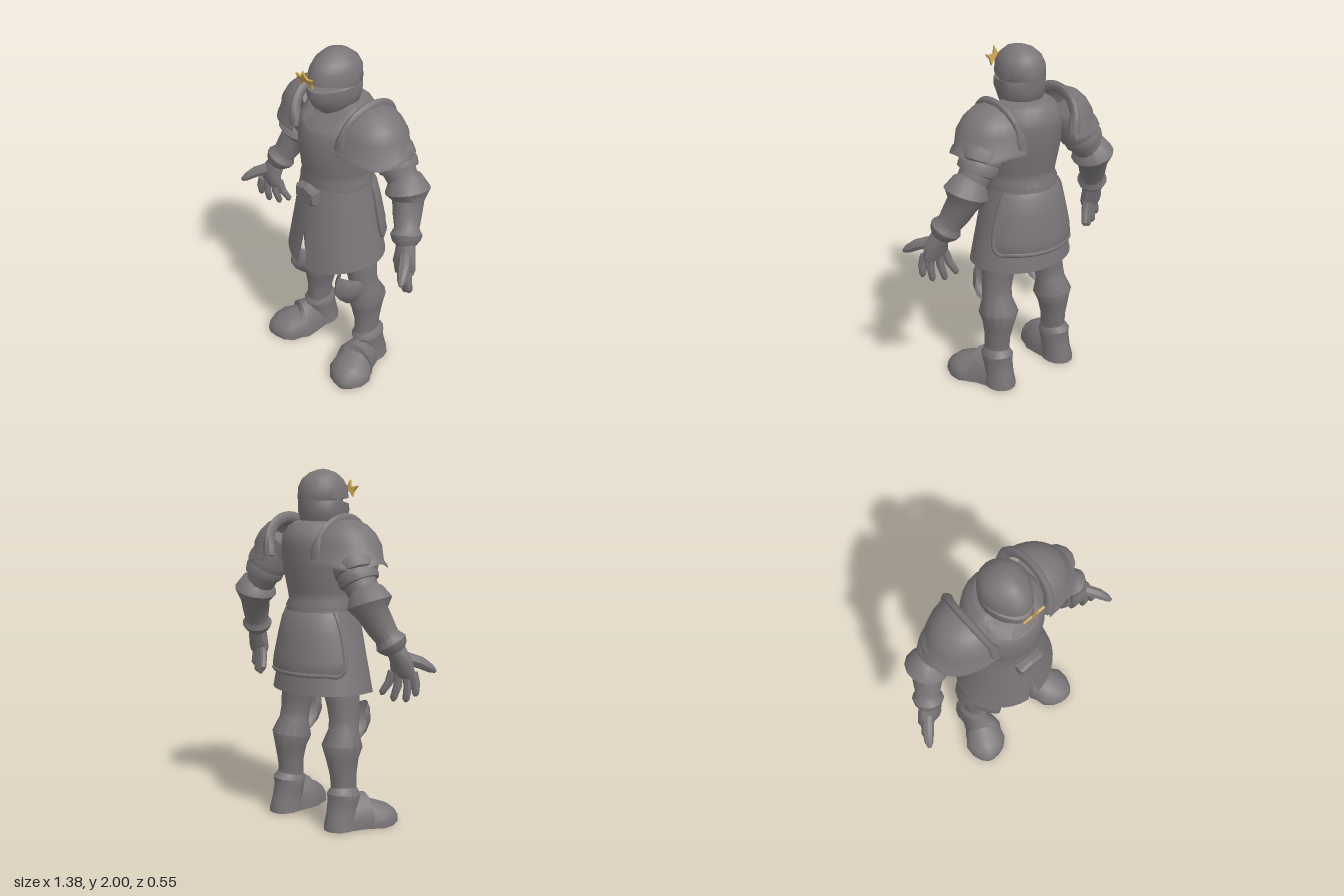
import * as THREE from 'three';
import { toCreasedNormals } from 'three/addons/utils/BufferGeometryUtils.js';

const V = (x, y, z) => new THREE.Vector3(x, y, z);

// Skin a list of equal-length rings; closed rings wrap round and get end caps.
function loft(rings, closed = true) {
  const n = rings[0].length, pos = [], idx = [];
  rings.forEach(r => r.forEach(p => pos.push(p.x, p.y, p.z)));
  for (let j = 0; j < rings.length - 1; j++) {
    for (let i = 0; i < (closed ? n : n - 1); i++) {
      const k = (i + 1) % n, a = j * n + i, b = j * n + k;
      idx.push(a, b, b + n, a, b + n, a + n);
    }
  }
  if (closed) {
    [0, rings.length - 1].forEach(j => {
      const c = rings[j].reduce((s, p) => s.add(p), V(0, 0, 0)).divideScalar(n);
      const ci = pos.length / 3;
      pos.push(c.x, c.y, c.z);
      for (let i = 0; i < n; i++) {
        const a = j * n + i, b = j * n + (i + 1) % n;
        if (j === 0) idx.push(ci, b, a); else idx.push(ci, a, b);
      }
    });
  }
  const g = new THREE.BufferGeometry();
  g.setAttribute('position', new THREE.Float32BufferAttribute(pos, 3));
  g.setIndex(idx);
  return toCreasedNormals(g, 0.75);
}

// Sweep an ellipse along stations [x, y, z, depthRadius, widthRadius].
function sweep(st, { seg = 14, ref = V(0, 0, 1), floor = -1 } = {}) {
  const c = st.map(s => V(s[0], s[1], s[2]));
  return loft(st.map((s, j) => {
    const t = c[Math.min(j + 1, c.length - 1)].clone().sub(c[Math.max(j - 1, 0)]).normalize();
    const u = ref.clone().addScaledVector(t, -ref.dot(t)).normalize();
    const v = t.clone().cross(u);
    return Array.from({ length: seg }, (_, i) => {
      const a = i / seg * Math.PI * 2;
      const p = c[j].clone().addScaledVector(u, Math.cos(a) * s[3])
        .addScaledVector(v, Math.sin(a) * (s[4] ?? s[3]));
      p.y = Math.max(p.y, floor);
      return p;
    });
  }));
}

// Horizontal body rings [y, halfWidth, zFront, zBack]; taper narrows the front.
function body(rows, { taper = 0, dip = () => 0 } = {}) {
  return loft(rows.map(([y, rx, zf, zb], j) => Array.from({ length: 24 }, (_, i) => {
    const a = i / 24 * Math.PI * 2, c = Math.cos(a);
    return V(rx * Math.sin(a) * (1 - taper * Math.max(0, c)), y + dip(c, j), c > 0 ? zf * c : -zb * c);
  })));
}

// Flip a non-indexed geometry across x, keeping the faces outward.
function mirrored(geo) {
  const g = geo.clone();
  for (const key of ['position', 'normal']) {
    const s = geo.attributes[key], d = g.attributes[key];
    for (let i = 0; i < s.count; i++) {
      const k = i % 3 === 0 ? i : i % 3 === 1 ? i + 1 : i - 1;
      d.setXYZ(i, -s.getX(k), s.getY(k), s.getZ(k));
    }
  }
  return g;
}

export function createModel() {
  const root = new THREE.Group();
  root.name = 'armouredFigure';
  const steel = new THREE.MeshStandardMaterial({ color: 0x7a7577, side: THREE.DoubleSide });
  steel.name = 'steel';
  const gold = new THREE.MeshStandardMaterial({ color: 0xc4a04c, side: THREE.DoubleSide });
  gold.name = 'gold';
  const add = (name, geo, mat = steel) => {
    const m = new THREE.Mesh(geo, mat);
    m.name = name;
    root.add(m);
    return m;
  };
  const pair = (name, geo) => {
    add(name + 'Left', geo);
    add(name + 'Right', mirrored(geo));
  };

  // Helmet with a recessed eye slit that opens towards the front
  add('helmet', body([
    [1.66, 0.075, 0.105, -0.08], [1.70, 0.115, 0.15, -0.115], [1.77, 0.13, 0.188, -0.135],
    [1.822, 0.13, 0.182, -0.138], [1.824, 0.128, 0.115, -0.138], [1.836, 0.128, 0.115, -0.14],
    [1.838, 0.13, 0.178, -0.14], [1.90, 0.127, 0.172, -0.138], [1.945, 0.108, 0.14, -0.115],
    [1.98, 0.068, 0.095, -0.068], [1.995, 0.03, 0.045, -0.025], [2.0, 0.004, 0.012, 0.0],
  ], { taper: 0.14, dip: (c, j) => j === 3 ? -0.016 * Math.max(0, c) : j === 6 ? 0.008 * Math.max(0, c) ** 4 : 0 }));

  // Winged crest in front of the brow
  const half = [[0.013, 0.018], [0.03, 0.012], [0.066, 0.018], [0.045, -0.012], [0.043, -0.045], [0.022, -0.02]];
  const outline = [[0, 0.055], ...half, [0, -0.012], ...half.map(([x, y]) => [-x, y]).reverse()];
  const crestShape = new THREE.Shape(outline.map(([x, y]) => new THREE.Vector2(x, y)));
  const crest = add('crest', new THREE.ExtrudeGeometry(crestShape, { depth: 0.012, bevelEnabled: false }), gold);
  crest.position.set(0, 1.89, 0.211);
  crest.rotation.x = 0.32;

  // Breastplate and gorget
  add('cuirass', body([
    [1.20, 0.20, 0.185, -0.185], [1.25, 0.212, 0.2, -0.195], [1.285, 0.197, 0.19, -0.175],
    [1.33, 0.203, 0.2, -0.182], [1.45, 0.222, 0.207, -0.21], [1.56, 0.228, 0.195, -0.225],
    [1.60, 0.226, 0.175, -0.226], [1.64, 0.215, 0.12, -0.222], [1.69, 0.18, 0.075, -0.195], [1.72, 0.12, 0.05, -0.15],
  ]));
  add('gorget', body([
    [1.645, 0.187, 0.185, -0.215], [1.69, 0.172, 0.13, -0.195], [1.715, 0.14, 0.085, -0.165], [1.715, 0.1, 0.06, -0.12],
  ], { dip: c => -0.06 * Math.max(0, c) ** 2 }));

  // Skirt, split at the front
  const skirtRows = [[0.775, 0.307, 0.27, 0.25, 0.036], [0.88, 0.283, 0.25, 0.235, 0.016],
    [0.98, 0.26, 0.237, 0.223, 0], [1.1, 0.235, 0.222, 0.21, 0], [1.25, 0.203, 0.2, 0.193, 0]];
  add('skirt', loft(skirtRows.map(([y, rx, zf, zb, gap], j) => Array.from({ length: 37 }, (_, i) => {
    const g = Math.asin(gap / rx), a = g + i / 36 * (Math.PI * 2 - 2 * g), c = Math.cos(a);
    const drop = j === 0 ? 0.052 * Math.max(0, c) ** 2 : 0;
    return V(rx * Math.sin(a), y - drop, c > 0 ? zf * c : zb * c);
  })), false));

  // Belt buckle
  const buckle = new THREE.Shape([[0, 1.255], [-0.078, 1.235], [-0.078, 1.165], [-0.045, 1.14], [0, 1.13],
    [0.045, 1.14], [0.078, 1.165], [0.078, 1.235]].map(([x, y]) => new THREE.Vector2(x, y)));
  add('buckle', new THREE.ExtrudeGeometry(buckle, {
    depth: 0.07, bevelSize: 0.012, bevelThickness: 0.016, bevelOffset: -0.012, bevelSegments: 1,
  })).position.z = 0.157;

  // Curved rear plate with a rolled rim
  const rear = (rx, rz, y, a) => V(rx * Math.sin(a), y, -rz * Math.cos(a));
  const plateRows = [[0.885, 0.284, 0.262, 1.08], [0.91, 0.293, 0.268, 1.18], [0.96, 0.287, 0.264, 1.22],
    [1.1, 0.254, 0.24, 1.2], [1.19, 0.228, 0.222, 1.15], [1.225, 0.21, 0.2, 1.1]];
  add('rearPlate', loft(plateRows.map(([y, rx, rz, h]) => {
    const row = d => Array.from({ length: 15 }, (_, i) => rear(rx - d, rz - d, y, h - i / 14 * 2 * h));
    return [...row(0), ...row(0.025).reverse()];
  })));
  const rim = [...plateRows].reverse().map(([y, rx, rz, h]) => rear(rx - 0.004, rz - 0.004, y, h));
  for (let i = 1; i < 8; i++) rim.push(rear(0.284, 0.26, 0.89, 1.08 - i * 0.27));
  rim.push(...plateRows.map(([y, rx, rz, h]) => rear(rx - 0.004, rz - 0.004, y, -h)));
  add('rearPlateRim', toCreasedNormals(new THREE.TubeGeometry(new THREE.CatmullRomCurve3(rim), 60, 0.013, 6), 1.2));

  // Shoulder domes: half rings [y, centre x, reach, depth]
  const dome = [[1.495, 0.17, 0.30, 0.215], [1.515, 0.17, 0.292, 0.212], [1.535, 0.17, 0.272, 0.2],
    [1.60, 0.175, 0.252, 0.192], [1.66, 0.185, 0.205, 0.162], [1.705, 0.20, 0.14, 0.115],
    [1.73, 0.215, 0.06, 0.055], [1.733, 0.215, 0.004, 0.004]];
  pair('pauldron', loft(dome.map(([y, cx, rx, rz], j) => Array.from({ length: 17 }, (_, i) => {
    const a = i / 16 * Math.PI, s = Math.sin(a);
    const dip = j < 3 ? 0.02 * Math.cos(4 * a) - 0.01 : 0;
    return V(cx + rx * Math.pow(s, 0.9), y + dip * s, -0.045 + rz * Math.cos(a));
  })), false));
  // Raised flange along the inner edge of each dome, ending in knobs
  pair('pauldronFlange', sweep(Array.from({ length: 17 }, (_, i) => {
    const a = i / 16 * Math.PI, s = Math.max(0, Math.sin(a)), end = Math.abs(i - 8) >= 7;
    return [0.182 + 0.04 * s, 1.525 + 0.208 * Math.pow(s, 0.8), -0.045 + 0.185 * Math.cos(a), end ? 0.034 : 0.021, 0.032];
  }), { seg: 8, ref: V(1, 0, 0) }));

  // Arms
  pair('upperArm', sweep([[0.24, 1.60, -0.06, 0.085], [0.34, 1.46, -0.09, 0.1], [0.385, 1.39, -0.1, 0.09], [0.43, 1.32, -0.1, 0.08]]));
  pair('armBand', sweep([[0.29, 1.57, -0.07, 0.1], [0.335, 1.485, -0.09, 0.122], [0.352, 1.455, -0.095, 0.119],
    [0.356, 1.447, -0.095, 0.108], [0.365, 1.43, -0.1, 0.113], [0.377, 1.405, -0.1, 0.108], [0.38, 1.4, -0.1, 0.09]]));
  pair('gauntlet', sweep([[0.41, 1.39, -0.1, 0.06], [0.422, 1.37, -0.1, 0.09], [0.447, 1.305, -0.1, 0.124],
    [0.463, 1.25, -0.09, 0.086], [0.49, 1.18, -0.06, 0.078], [0.515, 1.125, -0.035, 0.068],
    [0.528, 1.095, -0.02, 0.088], [0.538, 1.07, -0.012, 0.078], [0.547, 1.045, -0.005, 0.055]]));

  // Hands
  pair('palm', sweep([[0.54, 1.08, -0.01, 0.05, 0.05], [0.565, 1.0, 0.02, 0.048, 0.068],
    [0.57, 0.94, 0.03, 0.04, 0.078], [0.57, 0.905, 0.03, 0.025, 0.068]], { seg: 10 }));
  const fingers = [[0.622, 0.055, 0.64, 0.81, 0.055], [0.59, 0.04, 0.592, 0.775, 0.035],
    [0.552, 0.02, 0.53, 0.775, 0.005], [0.517, 0.01, 0.475, 0.805, -0.025]];
  fingers.forEach(([x, z, tx, ty, tz], i) => {
    pair('finger' + (i + 1), sweep([[x, 0.935, z, 0.025], [(x + tx) / 2 + 0.004, (0.94 + ty) / 2, (z + tz) / 2 + 0.008, 0.023],
      [tx, ty + 0.015, tz, 0.019], [tx, ty, tz, 0.009]], { seg: 8 }));
  });
  pair('thumb', sweep([[0.585, 1.01, 0.04, 0.035], [0.635, 0.985, 0.1, 0.033], [0.668, 0.952, 0.145, 0.024], [0.683, 0.935, 0.168, 0.01]],
    { seg: 8, ref: V(0, 1, 0) }));

  // Legs
  pair('leg', sweep([[0.13, 1.0, -0.02, 0.11], [0.165, 0.8, -0.02, 0.105, 0.102], [0.185, 0.7, -0.018, 0.095, 0.09],
    [0.195, 0.62, -0.022, 0.086, 0.085], [0.2, 0.56, -0.03, 0.088, 0.085], [0.203, 0.475, -0.047, 0.12, 0.112],
    [0.208, 0.40, -0.05, 0.1, 0.085], [0.213, 0.31, -0.047, 0.082, 0.07], [0.216, 0.2, -0.042, 0.08, 0.066]]));
  pair('heel', sweep([[0.216, 0.235, -0.045, 0.082, 0.067], [0.22, 0.2, -0.05, 0.105, 0.088], [0.22, 0.16, -0.054, 0.095, 0.082],
    [0.222, 0.08, -0.066, 0.1, 0.08], [0.224, 0.02, -0.076, 0.106, 0.088], [0.224, -0.02, -0.076, 0.107, 0.09]], { floor: 0.008 }));
  pair('foot', sweep([[0.225, 0.025, -0.06, 0.14, 0.075], [0.238, 0.02, 0.03, 0.172, 0.1], [0.252, 0.02, 0.085, 0.168, 0.122],
    [0.258, 0.02, 0.1, 0.13, 0.116], [0.287, 0.02, 0.155, 0.107, 0.13], [0.312, 0.02, 0.21, 0.085, 0.105],
    [0.33, 0.02, 0.25, 0.05, 0.062], [0.335, 0.02, 0.268, 0.02, 0.025]], { ref: V(0, 1, 0), floor: 0 }));

  // Knee shields: rows [y, halfWidth, zMiddle, zSide, ySide]
  const knee = [[0.475, 0.012, 0.1, 0.09, 0.48], [0.53, 0.066, 0.155, 0.08, 0.535], [0.585, 0.09, 0.19, 0.068, 0.59],
    [0.66, 0.094, 0.182, 0.055, 0.64], [0.70, 0.07, 0.163, 0.075, 0.668]];
  pair('kneeShield', loft(knee.map(([y, w, zm, zs, ys]) => Array.from({ length: 9 }, (_, i) => {
    const u = i / 4 - 1, k = Math.pow(Math.abs(u), 1.6);
    return V(0.195 + w * u, y + (ys - y) * k, zm + (zs - zm) * k);
  })), false));

  return root;
}
